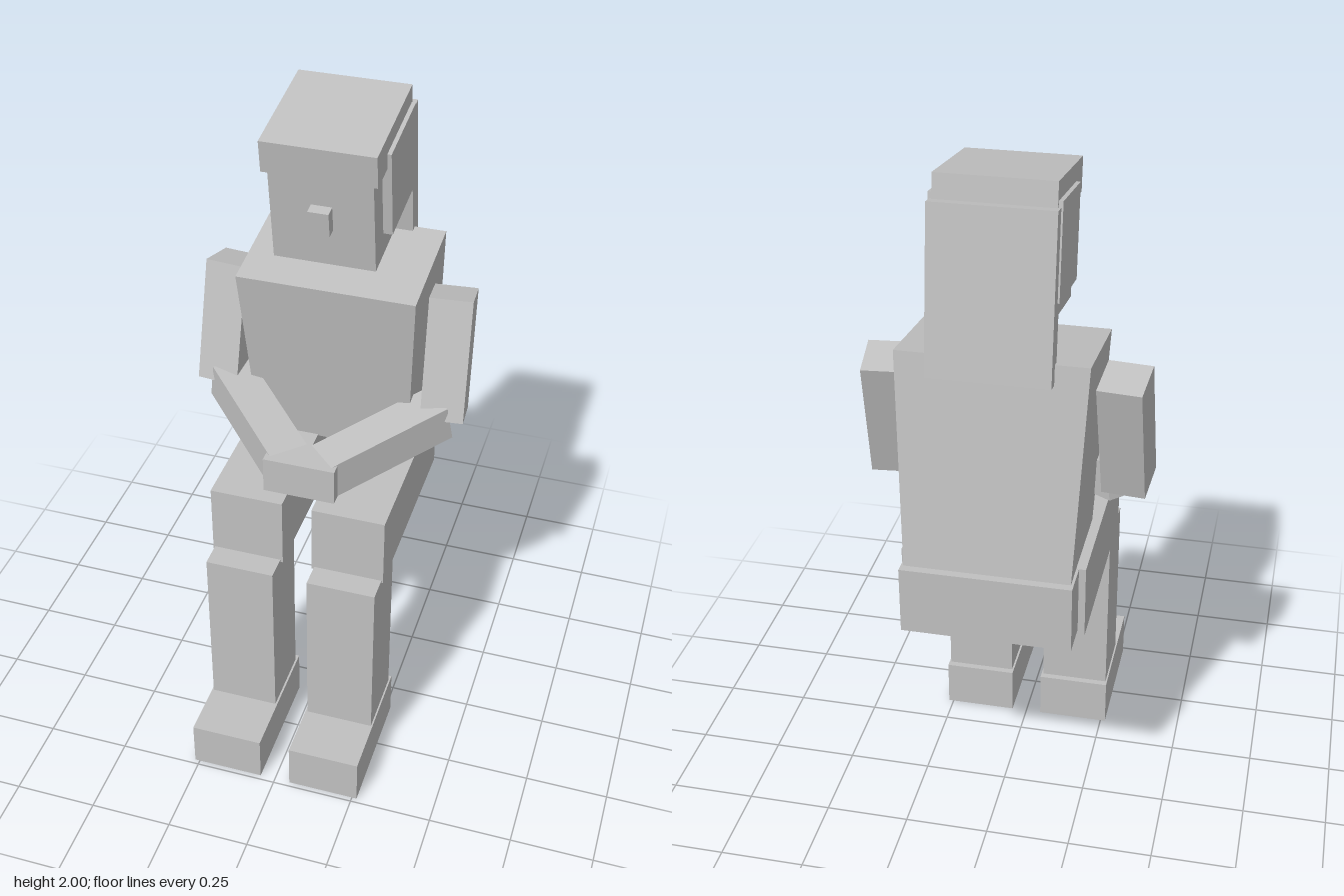
import * as THREE from 'three';

export function createModel() {
  const root = new THREE.Group();
  root.name = 'seatedFigure';
  const grey = new THREE.MeshStandardMaterial({ color: 0xc0c0c0 });
  grey.name = 'plainGrey';

  // Box given by its extents on each axis
  function block(name, parent, [x0, x1], [y0, y1], [z0, z1]) {
    const mesh = new THREE.Mesh(new THREE.BoxGeometry(x1 - x0, y1 - y0, z1 - z0), grey);
    mesh.position.set((x0 + x1) / 2, (y0 + y1) / 2, (z0 + z1) / 2);
    mesh.name = name;
    parent.add(mesh);
    return mesh;
  }

  // Box given by size, centre, pitch and yaw
  function limb(name, size, centre, pitch, yaw) {
    const mesh = new THREE.Mesh(new THREE.BoxGeometry(...size), grey);
    mesh.position.set(...centre);
    mesh.rotation.set(pitch, yaw, 0, 'YXZ');
    mesh.name = name;
    root.add(mesh);
  }

  // Legs and arms, mirrored
  for (const [side, s] of [['left', 1], ['right', -1]]) {
    const span = (a, b) => (s > 0 ? [a, b] : [-b, -a]);
    block(side + 'Foot', root, span(0.047, 0.265), [0, 0.147], [0.09, 0.485]);
    block(side + 'Shin', root, span(0.053, 0.26), [0.14, 0.69], [0.11, 0.315]);
    block(side + 'Thigh', root, span(0.045, 0.265), [0.682, 0.905], [-0.38, 0.24]);
    limb(side + 'UpperArm', [0.127, 0.375, 0.133], [s * 0.337, 1.243, -0.172], -0.238, s * 0.1);
    limb(side + 'Forearm', [0.12, 0.113, 0.415], [s * 0.185, 1.024, 0.023], 0.2, -s * Math.PI / 4);
  }
  block('joinedHands', root, [-0.107, 0.107], [0.93, 1.043], [0.11, 0.22]);
  block('pelvis', root, [-0.245, 0.245], [0.7, 0.904], [-0.485, -0.2]);

  // Torso: a box sheared forward and narrowed to the waist
  const torso = block('torso', root, [-0.5, 0.5], [-0.5, 0.5], [-0.5, 0.5]);
  const p = torso.geometry.attributes.position;
  for (let i = 0; i < p.count; i++) {
    const top = p.getY(i) > 0, front = p.getZ(i) > 0;
    const x = Math.sign(p.getX(i)) * (top ? 0.265 : 0.237);
    if (top) p.setXYZ(i, x, front ? 1.48 : 1.527, front ? -0.03 : -0.378);
    else p.setXYZ(i, x, 0.9, front ? -0.116 : -0.461);
  }
  torso.geometry.computeVertexNormals();

  // Head, bowed forward about the chin
  const head = new THREE.Group();
  head.name = 'headGroup';
  head.position.set(0, 1.569, -0.032);
  head.rotation.x = 0.145;
  root.add(head);
  block('neck', head, [-0.057, 0.057], [-0.085, 0.01], [-0.223, -0.1]);
  block('head', head, [-0.148, 0.148], [0, 0.3], [-0.316, 0]);
  block('nose', head, [-0.03, 0.03], [0.122, 0.197], [-0.01, 0.034]);
  block('topHair', head, [-0.163, 0.163], [0.29, 0.387], [-0.341, 0.012]);
  block('backHair', head, [-0.17, 0.17], [-0.148, 0.319], [-0.374, -0.314]);
  for (const [side, s] of [['left', 1], ['right', -1]])
    block(side + 'SideHair', head, s > 0 ? [0.13, 0.175] : [-0.175, -0.13], [0.072, 0.336], [-0.333, -0.08]);

  return root;
}
